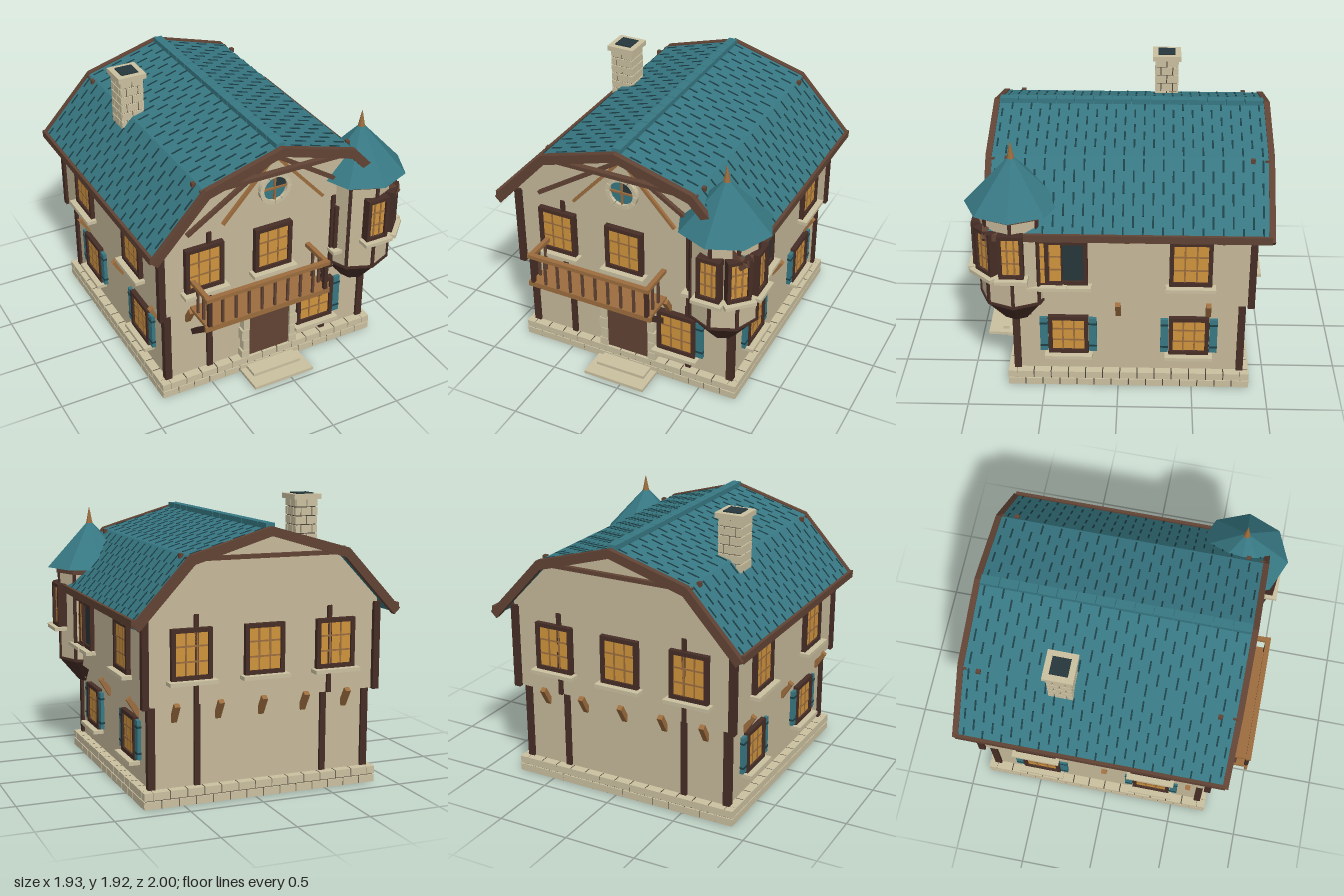
import * as THREE from 'three';

const mat = (name, color) => Object.assign(new THREE.MeshStandardMaterial({ color }), { name });

export function createModel() {
  const M = {
    plaster: mat('plaster', 0xc6b999), stone: mat('stone', 0xcbc0a0), mortar: mat('mortar', 0x4c443a),
    timber: mat('darkTimber', 0x472e26), brown: mat('brownTimber', 0x614334), wood: mat('lightWood', 0x9c6d3e),
    teal: mat('tealTile', 0x377883), groove: mat('tileGroove', 0x1c3f46), glass: mat('amberGlass', 0xcf943c),
    dark: mat('darkOpening', 0x26363b),
  };
  const root = new THREE.Group();
  const CX = -0.05, CZ = -0.07;

  const add = (name, geo, m, x = 0, y = 0, z = 0, parent = root) => {
    const mesh = new THREE.Mesh(geo, m);
    mesh.name = name;
    mesh.position.set(x, y, z);
    parent.add(mesh);
    return mesh;
  };
  const box = (name, m, w, h, d, x, y, z, parent) => add(name, new THREE.BoxGeometry(w, h, d), m, x, y, z, parent);
  // box given by its limits
  const span = (name, m, x0, x1, y0, y1, z0, z1, parent) =>
    box(name, m, x1 - x0, y1 - y0, z1 - z0, (x0 + x1) / 2, (y0 + y1) / 2, (z0 + z1) / 2, parent);
  // square beam between two points
  const beam = (name, m, a, b, w, d = w) => {
    const A = new THREE.Vector3(...a), B = new THREE.Vector3(...b);
    const mesh = box(name, m, w, d, A.distanceTo(B), 0, 0, 0);
    mesh.position.copy(A).add(B).multiplyScalar(0.5);
    mesh.lookAt(B);
    return mesh;
  };
  const flat = (rt, rb, h, sides = 8) => {
    const g = new THREE.CylinderGeometry(rt, rb, h, sides).toNonIndexed();
    g.computeVertexNormals();
    return g;
  };
  const extrude = (name, m, pts, z0, z1) => add(name, new THREE.ExtrudeGeometry(
    new THREE.Shape(pts.map(p => new THREE.Vector2(p[0], p[1]))), { depth: z1 - z0, bevelEnabled: false }), m, CX, 0, z0);

  // courses of stone around a rectangular core
  const masonry = (name, cx, cz, w, d, y0, rows, rowH, len, thick) => {
    const g = new THREE.Group();
    g.name = name;
    root.add(g);
    box(name + 'Core', M.mortar, w - 0.02, rows * rowH - 0.004, d - 0.02, cx, y0 + rows * rowH / 2 - 0.002, cz, g);
    for (let r = 0; r < rows; r++) for (let s = 0; s < 4; s++) {
      const run = s % 2 ? d : w, off = (s % 2 ? w : d) / 2 - thick / 2;
      const n = Math.round(run / len);
      const cuts = [0];
      for (let i = 1; i <= n; i++) cuts.push(Math.min(run, (i - (r % 2 ? 0.5 : 0)) * run / n));
      if (r % 2) cuts.push(run);
      for (let i = 0; i + 1 < cuts.length; i++) {
        const u = (cuts[i] + cuts[i + 1]) / 2 - run / 2, l = cuts[i + 1] - cuts[i] - 0.007;
        const y = y0 + (r + 0.5) * rowH, sg = s < 2 ? 1 : -1;
        if (s % 2) box('stoneBlock', M.stone, thick, rowH - 0.007, l, cx + sg * off, y, cz + u, g);
        else box('stoneBlock', M.stone, l, rowH - 0.007, thick, cx + u, y, cz + sg * off, g);
      }
    }
  };

  // window facing +z, turned by ry
  const windowAt = (name, x, y, z, ry, w, h, opt = {}) => {
    const g = new THREE.Group();
    g.name = name;
    g.position.set(x, y, z);
    g.rotation.y = ry;
    root.add(g);
    const f = opt.frame ?? 0.028, dp = opt.depth ?? 0.05;
    box('pane', opt.pane ?? M.glass, w - f, h - f, dp * 0.4, 0, 0, 0, g);
    for (const s of [-1, 1]) {
      box('jamb', M.timber, f, h, dp, s * (w - f) / 2, 0, 0, g);
      box('frameRail', M.timber, w, f, dp, 0, s * (h - f) / 2, 0, g);
      if (!opt.pane) {
        box('mullion', M.wood, 0.011, h - f, dp * 0.55, s * w * 0.14, 0, 0, g);
        box('glazingBar', M.wood, w - f, 0.011, dp * 0.55, 0, s * h * 0.15, 0, g);
      }
    }
    if (opt.sill !== false) box('sill', M.stone, w + 0.05, 0.025, 0.09, 0, -h / 2 - 0.014, 0.02, g);
    for (const s of opt.shutters ?? []) {
      box('shutter', M.teal, 0.052, h - 0.03, 0.025, s * (w / 2 + 0.03), 0, 0.005, g);
      for (const t of [-1, 1]) box('shutterBand', M.groove, 0.054, 0.014, 0.03, s * (w / 2 + 0.03), t * h * 0.3, 0.005, g);
    }
  };

  // foundation and walls
  masonry('foundation', CX, CZ, 1.64, 1.64, 0, 2, 0.0575, 0.117, 0.06);
  span('lowerWalls', M.plaster, -0.81, 0.71, 0.1, 0.66, -0.83, 0.69);
  span('upperWalls', M.plaster, -0.86, 0.76, 0.655, 1.24, -0.87, 0.73);
  extrude('gable', M.plaster, [[-0.815, 1.23], [0.815, 1.23], [0.815, 1.26], [0.52, 1.57], [0, 1.725], [-0.52, 1.57], [-0.815, 1.26]], -0.88, 0.74);

  // corner and intermediate posts
  for (const sx of [-1, 1]) for (const sz of [-1, 1]) {
    box('lowerCornerPost', M.timber, 0.048, 0.54, 0.048, CX + sx * 0.755, 0.385, CZ + sz * 0.755);
    box('upperCornerPost', M.timber, 0.045, 0.59, 0.045, CX + sx * 0.808, 0.945, CZ + sz * 0.808);
  }
  for (const s of [-1, 1]) for (const sz of [-1, 1]) {
    box('lowerPost', M.timber, 0.04, 0.54, 0.03, CX + s * 0.445, 0.385, CZ + sz * 0.765);
    box('upperPost', M.timber, 0.028, 0.58, 0.03, CX + s * 0.465, 0.945, CZ + sz * 0.805);
  }

  // slanted joist brackets under the upper floor
  for (const u of [-0.6, -0.3, 0, 0.3, 0.6]) for (const s of [-1, 1]) {
    beam('joistBracket', M.wood, [CX + u, 0.55, CZ + s * 0.755], [CX + u, 0.665, CZ + s * 0.825], 0.036);
    if (Math.abs(u) !== 0.3) beam('joistBracket', M.wood, [CX + s * 0.755, 0.55, u], [CX + s * 0.825, 0.665, u], 0.036);
  }

  // gambrel roof with boards on the ends and along the eaves
  const band = (o, t) => [[0.92, 1.2 + o], [0.54, 1.61 + o], [0, 1.765 + o], [-0.54, 1.61 + o], [-0.92, 1.2 + o],
    [-0.92 + t * 0.7, 1.2 + o - t * 0.7], [-0.54 + t * 0.4, 1.61 + o - t], [0, 1.765 + o - t],
    [0.54 - t * 0.4, 1.61 + o - t], [0.92 - t * 0.7, 1.2 + o - t * 0.7]];
  extrude('roofTiles', M.teal, band(0, 0.035), -0.965, 0.825);
  extrude('frontBargeBoard', M.brown, band(0.008, 0.06), 0.82, 0.86);
  extrude('backBargeBoard', M.brown, band(0.008, 0.06), -1, -0.96);
  for (const s of [-1, 1]) {
    span('collarBeam', M.brown, -0.61, 0.51, 1.575, 1.602, s > 0 ? 0.8 : -0.97, s > 0 ? 0.84 : -0.94);
    box('eaveBoard', M.brown, 0.022, 0.05, 1.82, CX + s * 0.912, 1.215, CZ);
    for (const z of [0.55, -0.06, -0.67]) beam('rafterTail', M.wood, [CX + s * 0.8, 1.27, z], [CX + s * 0.895, 1.175, z], 0.03);
    for (const z of [-0.86, 0.72]) box('purlinPeg', M.brown, 0.025, 0.03, 0.03, CX + s * 0.56, 1.6, z);
  }

  // tile grooves running down each slope
  for (const s of [-1, 1]) for (const [a, b] of [[[0, 1.765], [0.54, 1.61]], [[0.54, 1.61], [0.92, 1.2]]]) {
    const dx = b[0] - a[0], dy = b[1] - a[1], L = Math.hypot(dx, dy);
    for (let r = 0; r < 28; r++) for (let k = 0; k < 4; k++) {
      const t = 0.055 + k * 0.15 + (r % 2) * 0.075;
      if (t > L - 0.04) continue;
      const m = box('tileGroove', M.groove, 0.08, 0.008, 0.011, CX + s * (a[0] + dx * t / L), a[1] + dy * t / L, -0.925 + r * 0.0637);
      m.rotation.z = s * Math.atan2(dy, dx);
    }
  }
  for (let i = 0; i < 14; i++) box('ridgeTile', M.teal, 0.062, 0.035, 0.122, CX, 1.773, -0.895 + i * 0.127);

  // chimney
  masonry('chimney', -0.58, -0.31, 0.165, 0.165, 1.47, 7, 0.06, 0.08, 0.03);
  box('chimneyCap', M.stone, 0.2, 0.035, 0.2, -0.58, 1.9, -0.31);
  box('flue', M.dark, 0.12, 0.012, 0.12, -0.58, 1.919, -0.31);

  // gable braces and round window
  for (const s of [-1, 1]) {
    beam('lightBrace', M.wood, [CX, 1.67, 0.75], [CX + s * 0.37, 1.265, 0.75], 0.022);
    beam('darkBrace', M.brown, [CX, 1.67, 0.76], [CX + s * 0.63, 1.265, 0.76], 0.026);
  }
  add('roundPane', new THREE.CircleGeometry(0.09, 32), M.teal, CX, 1.435, 0.752);
  add('roundPaneDark', new THREE.CircleGeometry(0.088, 12, 0, Math.PI / 2), M.dark, CX, 1.435, 0.755);
  for (let i = 0; i < 12; i++) {
    const ring = new THREE.Shape();
    const a0 = i * Math.PI / 6 + 0.02, a1 = (i + 1) * Math.PI / 6 - 0.02;
    ring.absarc(0, 0, 0.113, a0, a1, false);
    ring.absarc(0, 0, 0.085, a1, a0, true);
    add('roundWindowStone', new THREE.ExtrudeGeometry(ring, { depth: 0.035, bevelEnabled: false, curveSegments: 4 }), M.stone, CX, 1.435, 0.74);
  }
  box('roundMullion', M.wood, 0.012, 0.175, 0.02, CX, 1.435, 0.755);
  box('roundBar', M.wood, 0.175, 0.012, 0.02, CX, 1.435, 0.755);

  // wall windows
  for (const x of [-0.555, -0.05, 0.45]) {
    windowAt('upperBackWindow', x, 0.985, -0.88, Math.PI, 0.275, 0.33);
    windowAt('upperFrontWindow', x > 0 ? 0.555 : x, 0.985, 0.745, 0, 0.275, 0.33);
  }
  windowAt('lowerFrontWindow', 0.315, 0.39, 0.71, 0, 0.285, 0.32, { shutters: [1] });
  for (const s of [-1, 1]) for (const z of [0.335, -0.475]) {
    const ry = s * Math.PI / 2, open = s > 0 && z > 0;
    windowAt('upperSideWindow', CX + s * 0.815, 0.985, z, ry, 0.28, 0.33, open ? { pane: M.dark } : {});
    windowAt('lowerSideWindow', CX + s * 0.77, 0.395, z, ry, 0.27, 0.29, { shutters: [-1, 1] });
  }
  windowAt('slidCasement', 0.775, 0.985, 0.48, Math.PI / 2, 0.24, 0.32, { frame: 0.008 });

  // door, stone jambs, lintel and steps
  span('door', M.brown, -0.21, 0.105, 0.04, 0.585, 0.66, 0.73);
  for (let i = 0; i < 6; i++) for (const s of [-1, 1]) {
    const w = i % 2 ? 0.046 : 0.058;
    box('doorJambStone', M.stone, w, 0.083, 0.07, -0.052 + s * (0.158 + w / 2), 0.128 + i * 0.088, 0.71);
  }
  span('lintel', M.brown, -0.262, 0.157, 0.578, 0.612, 0.66, 0.775);
  span('lowerStep', M.stone, -0.28, 0.175, 0, 0.022, 0.7, 0.96);
  span('upperStep', M.stone, -0.235, 0.13, 0.02, 0.044, 0.7, 0.86);

  // balcony
  span('balconyDeck', M.wood, -0.65, 0.25, 0.66, 0.685, 0.72, 0.975);
  span('balconyEdge', M.wood, -0.665, 0.26, 0.65, 0.688, 0.965, 0.985);
  span('frontHandrail', M.wood, -0.66, 0.25, 0.88, 0.908, 0.955, 0.99);
  for (const x of [-0.64, 0.232]) span('sideHandrail', M.wood, x - 0.016, x + 0.016, 0.88, 0.908, 0.73, 0.97);
  for (let i = 0; i < 10; i++) {
    const end = i % 9 === 0;
    box('baluster', end ? M.timber : M.brown, end ? 0.026 : 0.016, 0.2, end ? 0.026 : 0.016, -0.632 + i * 0.0955, 0.782, 0.972);
  }
  for (const x of [-0.632, 0.228]) for (const z of [0.81, 0.89]) box('baluster', M.brown, 0.016, 0.2, 0.016, x, 0.782, z);
  for (const x of [-0.61, 0.2]) {
    beam('balconyStrut', M.timber, [x, 0.45, 0.7], [x, 0.65, 0.95], 0.038);
    span('balconyJoist', M.timber, x - 0.019, x + 0.019, 0.625, 0.66, 0.7, 0.96);
  }

  // octagonal corner turret
  const TX = 0.643, TZ = 0.68;
  add('turretCorbel', flat(0.24, 0.1, 0.17), M.timber, TX, 0.6, TZ);
  add('turretBody', flat(0.233, 0.233, 0.65), M.plaster, TX, 1.005, TZ);
  add('turretBaseRing', flat(0.243, 0.243, 0.018), M.timber, TX, 0.69, TZ);
  add('turretTopRing', flat(0.252, 0.252, 0.04), M.brown, TX, 1.34, TZ);
  add('turretRoof', flat(0, 0.315, 0.335), M.teal, TX, 1.5275, TZ);
  add('turretSpike', flat(0.002, 0.026, 0.12), M.wood, TX, 1.72, TZ);
  for (let i = 0; i < 8; i++) {
    const a = i * Math.PI / 4;
    box('turretPost', M.timber, 0.022, 0.65, 0.022, TX + Math.sin(a) * 0.23, 1.01, TZ + Math.cos(a) * 0.23).rotation.y = a;
  }
  for (let i = 0; i < 3; i++) {
    const a = i * Math.PI / 4;
    windowAt('turretWindow', TX + Math.sin(a) * 0.235, 1.087, TZ + Math.cos(a) * 0.235, a, 0.162, 0.31, { frame: 0.024, depth: 0.065 });
  }
  return root;
}
